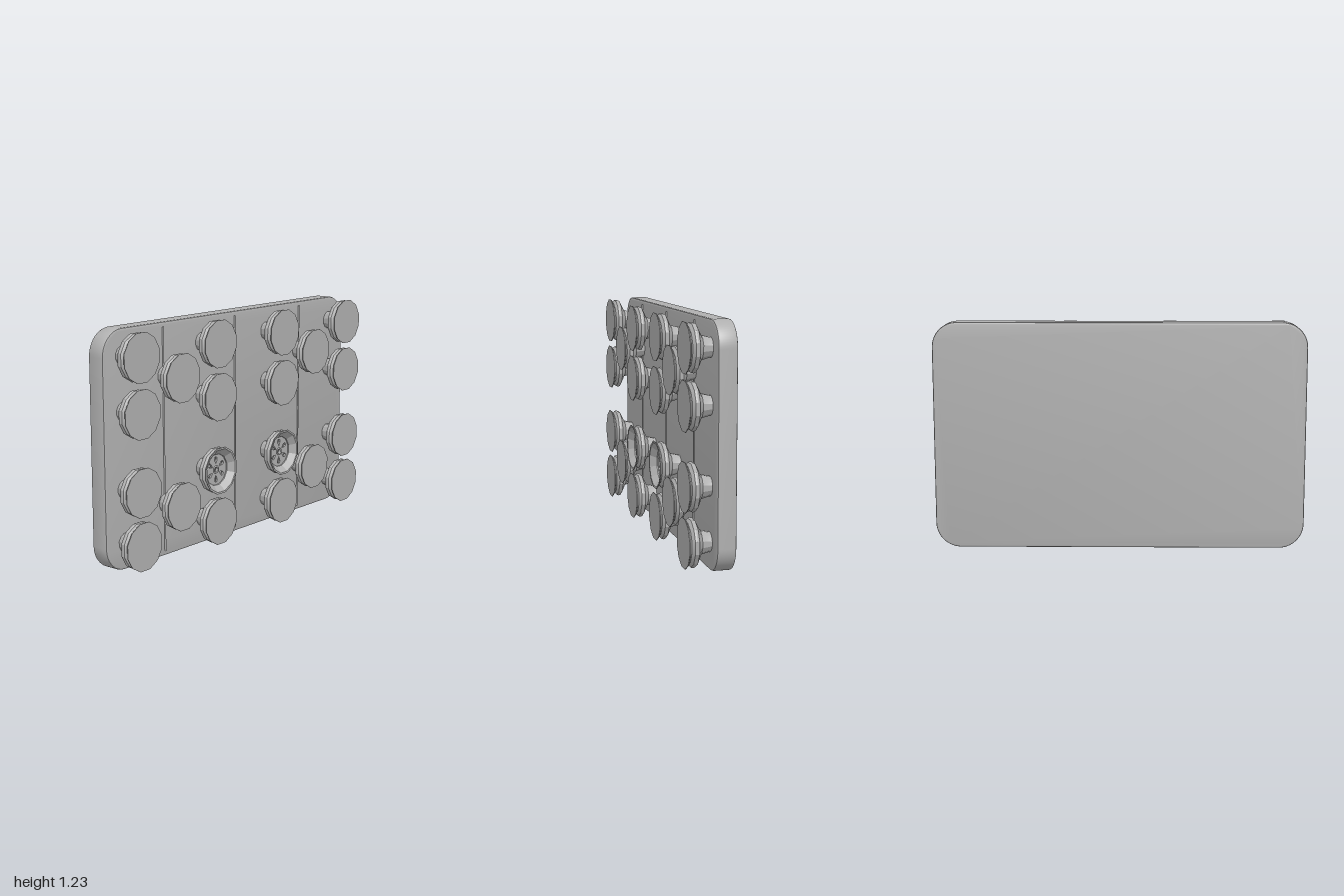
import * as THREE from 'three';
import { toCreasedNormals } from 'three/addons/utils/BufferGeometryUtils.js';

const W = 2, H = 1.23, BACK = -0.115, FACE = -0.018;

// Lathe around the z axis, flats facing up and sideways
function turned(points, sides = 12) {
  const geo = new THREE.LatheGeometry(points.map(([r, z]) => new THREE.Vector2(r, z)), sides, Math.PI / sides);
  geo.rotateX(Math.PI / 2);
  return toCreasedNormals(geo, 0.35);
}

function roundedRect(w, h, r) {
  const x = w / 2, y = h / 2, s = new THREE.Shape();
  s.moveTo(-x + r, -y);
  s.lineTo(x - r, -y);
  s.absarc(x - r, -y + r, r, -Math.PI / 2, 0);
  s.lineTo(x, y - r);
  s.absarc(x - r, y - r, r, 0, Math.PI / 2);
  s.lineTo(-x + r, y);
  s.absarc(-x + r, y - r, r, Math.PI / 2, Math.PI);
  s.lineTo(-x, -y + r);
  s.absarc(-x + r, -y + r, r, Math.PI, Math.PI * 1.5);
  return s;
}

// Strainer disc with a centre hole and six kite-shaped slots
function strainerGeometry() {
  const s = new THREE.Shape();
  s.absarc(0, 0, 0.084, 0, Math.PI * 2);
  const centre = new THREE.Path();
  centre.absarc(0, 0, 0.012, 0, Math.PI * 2, true);
  s.holes.push(centre);
  for (let i = 0; i < 6; i++) {
    const a = Math.PI / 2 + i * Math.PI / 3;
    const slot = [[0.03, 0], [0.055, 0.011], [0.068, 0.008], [0.068, -0.008], [0.055, -0.011]].map(([u, v]) =>
      new THREE.Vector2(u * Math.cos(a) - v * Math.sin(a), u * Math.sin(a) + v * Math.cos(a)));
    s.holes.push(new THREE.Path(slot));
  }
  return new THREE.ExtrudeGeometry(s, { depth: 0.012, bevelEnabled: false, curveSegments: 12 });
}

export function createModel() {
  const model = new THREE.Group();
  const grey = new THREE.MeshStandardMaterial({ color: 0xb0b0b0 });
  grey.name = 'grey rubber';

  function add(name, geo, x = 0, y = 0, z = 0, parent = model) {
    const mesh = new THREE.Mesh(geo, grey);
    mesh.name = name;
    mesh.position.set(x, y, z);
    parent.add(mesh);
    return mesh;
  }

  // Backing board with rounded corners and a small bevel
  const bevel = 0.01;
  const board = new THREE.ExtrudeGeometry(roundedRect(W - 2 * bevel, H - 2 * bevel, 0.125), {
    depth: FACE - BACK - 2 * bevel, bevelSize: bevel, bevelThickness: bevel, bevelSegments: 2, curveSegments: 8,
  });
  add('board', toCreasedNormals(board, 0.6), 0, H / 2, BACK + bevel);

  // Shallow vertical folds on the front
  const fold = new THREE.CylinderGeometry(0.006, 0.006, 1.18, 4);
  for (const x of [-0.57, 0, 0.57]) add('fold', fold, x, H / 2, FACE);

  // Suction cup outline: neck, flared body, groove, lip
  const outside = [[0, -0.03], [0.05, -0.03], [0.05, -0.012], [0.062, 0.033], [0.066, 0.036],
    [0.121, 0.064], [0.124, 0.075], [0.121, 0.085], [0.105, 0.098], [0.128, 0.111], [0.128, 0.115]];
  const closedCup = turned([...outside, [0, 0.115]]);
  const openCup = turned([...outside, [0.118, 0.114], [0.086, 0.082], [0.083, 0.05], [0, 0.05]]);
  const strainer = strainerGeometry();
  const hub = new THREE.TorusGeometry(0.017, 0.005, 6, 12);

  const columns = [
    { x: 0.862, rows: [0.143, 0.42, 0.815, 1.095] },
    { x: 0.563, rows: [0.285, 0.955] },
    { x: 0.272, rows: [0.143, 0.815, 1.095], drain: 0.42 },
  ];
  for (const side of [-1, 1]) {
    for (const { x, rows, drain } of columns) {
      for (const y of rows) add('suctionCup', closedCup, side * x, y);
      if (drain) {
        // Open cup with a slotted strainer inside
        const cup = new THREE.Group();
        cup.name = 'strainerCup';
        cup.position.set(side * x, drain, 0);
        model.add(cup);
        add('openCup', openCup, 0, 0, 0, cup);
        add('strainer', strainer, 0, 0, 0.064, cup);
        add('strainerHub', hub, 0, 0, 0.077, cup);
      }
    }
  }
  return model;
}
